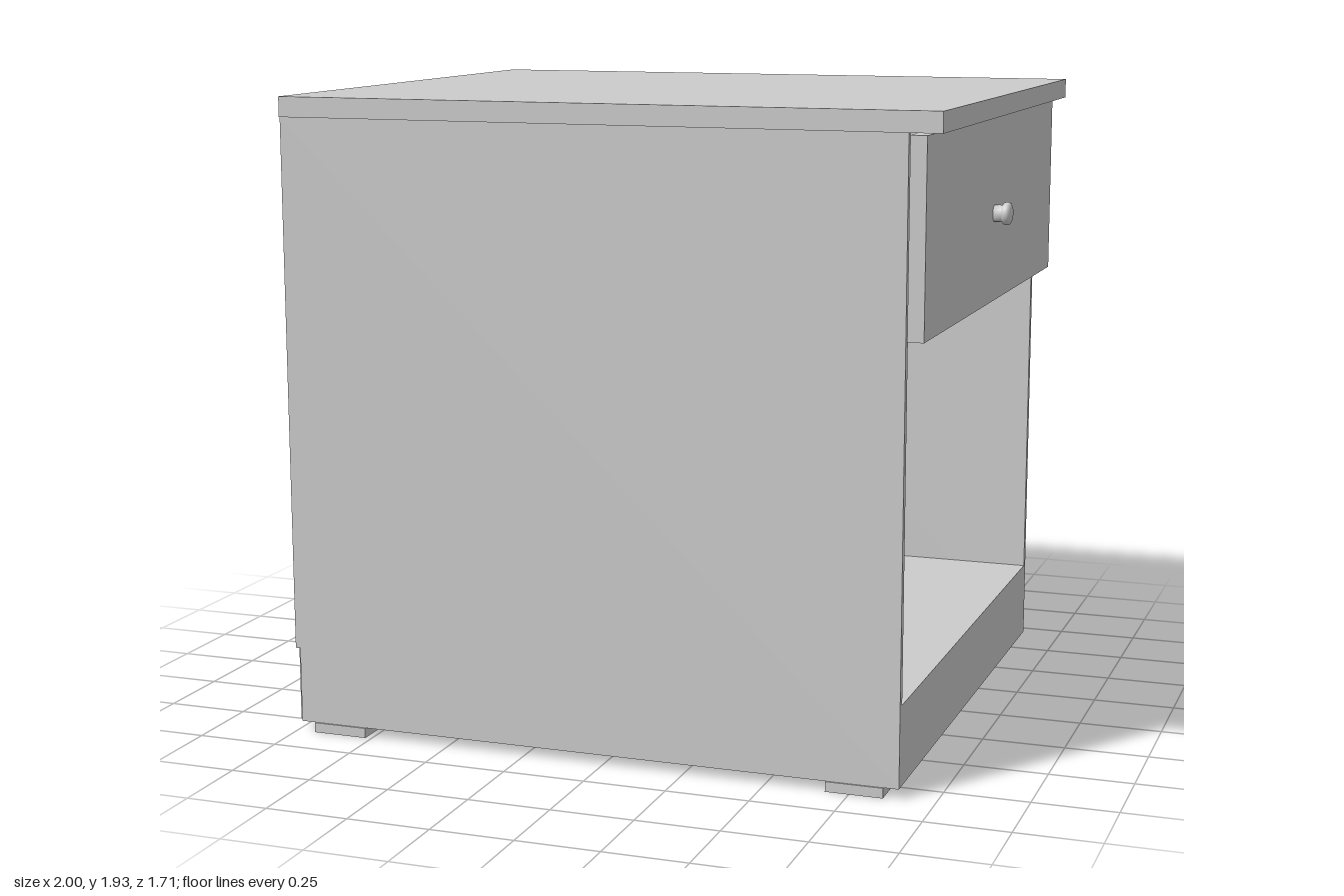
import * as THREE from 'three';

const material = new THREE.MeshStandardMaterial({ color: 0xcccccc, flatShading: true });
const smooth = new THREE.MeshStandardMaterial({ color: 0xcccccc });

export function createModel() {
  const group = new THREE.Group();

  // Box given by its limits on each axis
  const board = (name, [x0, x1], [y0, y1], [z0, z1]) => {
    const mesh = new THREE.Mesh(new THREE.BoxGeometry(x1 - x0, y1 - y0, z1 - z0), material);
    mesh.position.set((x0 + x1) / 2, (y0 + y1) / 2, (z0 + z1) / 2);
    mesh.name = name;
    group.add(mesh);
  };

  board('tabletop', [-1, 0.99], [1.87, 1.93], [-0.857, 0.857]);

  // Side panels, notched at the lower rear corner
  const outline = new THREE.Shape([
    [-0.985, 0.03], [0.895, 0.03], [0.895, 1.87], [-1, 1.87], [-1, 0.26], [-0.985, 0.26],
  ].map(([x, y]) => new THREE.Vector2(x, y)));
  for (const [name, z] of [['leftPanel', 0.83], ['rightPanel', -0.852]]) {
    const panel = new THREE.Mesh(
      new THREE.ExtrudeGeometry(outline, { depth: 0.022, bevelEnabled: false }), material);
    panel.position.z = z;
    panel.name = name;
    group.add(panel);
  }

  // Carcass between the side panels
  const inner = [-0.83, 0.83];
  board('backPanel', [-1, -0.975], [0.27, 1.87], inner);
  board('base', [-1, 0.895], [0.03, 0.27], inner);
  board('drawerShelf', [-0.975, 0.895], [1.305, 1.33], inner);

  // Drawer: front and the tray behind it
  board('drawerFront', [0.9, 0.947], [1.303, 1.864], [-0.857, 0.857]);
  board('drawerBottom', [-0.9, 0.9], [1.34, 1.36], [-0.81, 0.81]);
  board('drawerBack', [-0.9, -0.88], [1.36, 1.8], [-0.81, 0.81]);
  for (const s of [-1, 1]) {
    const z = [0.79 * s, 0.81 * s].sort((a, b) => a - b);
    board('drawerSide', [-0.88, 0.9], [1.36, 1.8], z);
  }

  // Turned knob, its axis along x
  const profile = [
    [0, 0], [0.026, 0], [0.026, 0.024], [0.033, 0.029], [0.035, 0.035],
    [0.035, 0.042], [0.032, 0.048], [0.024, 0.052], [0, 0.053],
  ].map(([r, h]) => new THREE.Vector2(r, h));
  const knob = new THREE.Mesh(new THREE.LatheGeometry(profile, 24), smooth);
  knob.rotation.z = -Math.PI / 2;
  knob.position.set(0.947, 1.57, 0);
  knob.name = 'knob';
  group.add(knob);

  // Feet
  for (const x of [[-0.94, -0.77], [0.68, 0.85]]) {
    board('foot', x, [0, 0.03], [0.758, 0.857]);
    board('foot', x, [0, 0.03], [-0.857, -0.758]);
  }

  return group;
}
